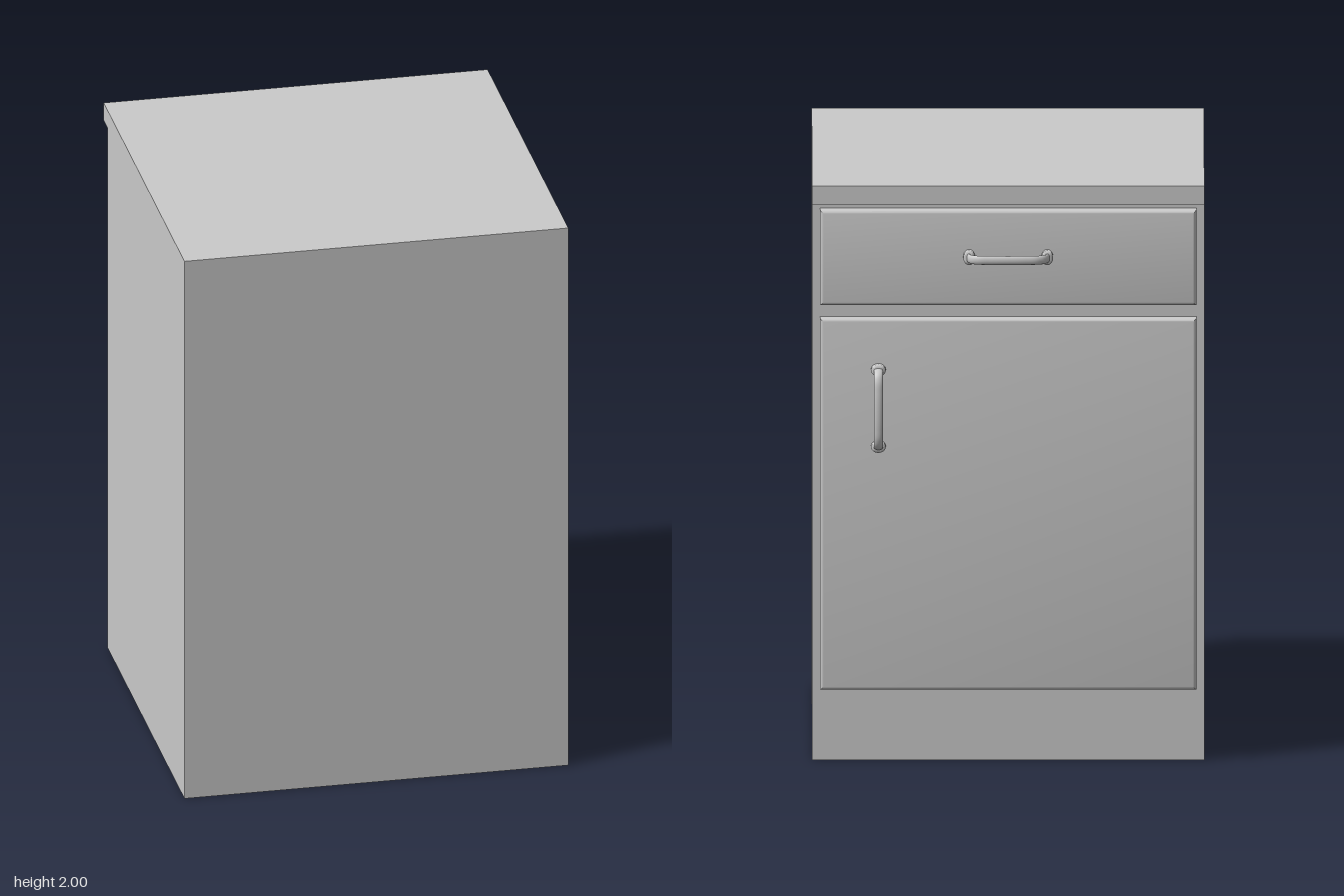
import * as THREE from 'three';
import { toCreasedNormals } from 'three/addons/utils/BufferGeometryUtils.js';

const material = new THREE.MeshStandardMaterial({ color: 0xcccccc });
const WIDTH = 1.33;
const CARCASS_Z = -0.575; // face of the cabinet behind the door and drawer
const PANEL_Z = -0.615;   // outer face of the door and drawer

function part(name, geometry) {
  const mesh = new THREE.Mesh(geometry, material);
  mesh.name = name;
  return mesh;
}

// Solid carcass with the overhanging worktop lip, as one side profile swept across the width
function cabinetBody() {
  const profile = new THREE.Shape([
    [0.69, 0], [0.69, 2], [-0.64, 2], [-0.64, 1.935], [CARCASS_Z, 1.935], [CARCASS_Z, 0],
  ].map(([z, y]) => new THREE.Vector2(z, y)));
  const geometry = new THREE.ExtrudeGeometry(profile, { depth: WIDTH, bevelEnabled: false });
  geometry.translate(0, 0, -WIDTH / 2).rotateY(-Math.PI / 2);
  return part('cabinetBody', geometry);
}

// Panel with rounded edges, its back sunk slightly into the carcass
function panel(name, y0, y1) {
  const r = 0.012;
  const x = WIDTH / 2 - 0.027 - r;
  const shape = new THREE.Shape([
    new THREE.Vector2(-x, y0 + r), new THREE.Vector2(x, y0 + r),
    new THREE.Vector2(x, y1 - r), new THREE.Vector2(-x, y1 - r),
  ]);
  const depth = 0.04;
  const geometry = new THREE.ExtrudeGeometry(shape, {
    depth, bevelThickness: r, bevelSize: r, bevelSegments: 4,
  });
  geometry.translate(0, 0, -PANEL_Z - depth - r).rotateY(Math.PI);
  return part(name, toCreasedNormals(geometry, 0.6));
}

// Flattened bow handle on two oval feet, built along x and bulging towards -z
function handle(name) {
  const group = new THREE.Group();
  group.name = name;
  const half = 0.1325;
  const side = [[half, -0.015], [half, -0.03], [0.122, -0.05], [0.1, -0.061], [0.06, -0.066]];
  const points = [
    ...side.map(([x, z]) => new THREE.Vector3(-x, 0, z)),
    new THREE.Vector3(0, 0, -0.068),
    ...side.slice().reverse().map(([x, z]) => new THREE.Vector3(x, 0, z)),
  ];
  const bow = new THREE.TubeGeometry(new THREE.CatmullRomCurve3(points), 48, 0.008, 14);
  bow.scale(1, 1.9, 1);
  group.add(part('handleBow', bow));

  // Foot profile: straight collar with a softened outer rim
  const footProfile = [[0.02, -0.004], [0.02, 0.021], [0.0185, 0.0245], [0.015, 0.026], [0, 0.026]]
    .map(([r, y]) => new THREE.Vector2(r, y));
  for (const sign of [-1, 1]) {
    const foot = toCreasedNormals(new THREE.LatheGeometry(footProfile, 24), 0.8);
    foot.rotateX(-Math.PI / 2).scale(1, 1.25, 1).translate(sign * half, 0, 0);
    group.add(part('handleFoot', foot));
  }
  return group;
}

export function createModel() {
  const model = new THREE.Group();
  model.name = 'baseCabinet';
  model.add(cabinetBody(), panel('drawerFront', 1.58, 1.91), panel('door', 0.25, 1.535));

  const drawerHandle = handle('drawerHandle');
  drawerHandle.position.set(0, 1.75, PANEL_Z);

  const doorHandle = handle('doorHandle');
  doorHandle.rotation.z = Math.PI / 2;
  doorHandle.position.set(0.44, 1.228, PANEL_Z);

  model.add(drawerHandle, doorHandle);
  return model;
}
